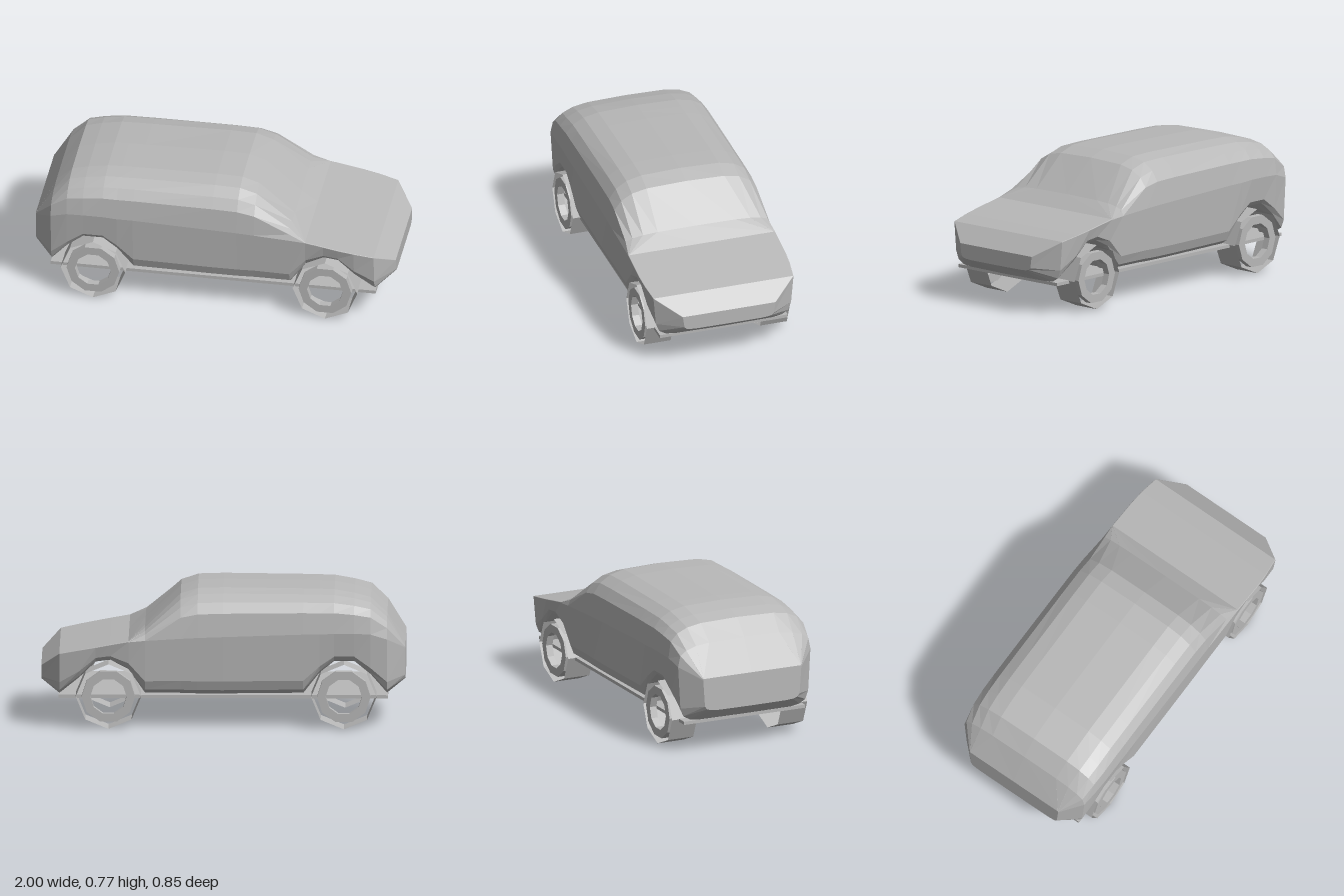
import * as THREE from 'three';

// Stations along the length: x, bottom, lower edge rounding, beltline, top, half width
const STATIONS = [
  [-1, 0.255, 0.03, 0.435, 0.445, 0.3],
  [-0.9, 0.18, 0.08, 0.5, 0.62, 0.405],
  [-0.81, 0.29, 0.05, 0.53, 0.71, 0.42],
  [-0.72, 0.365, 0.04, 0.535, 0.735, 0.425],
  [-0.61, 0.365, 0.04, 0.535, 0.755, 0.425],
  [-0.53, 0.3, 0.05, 0.53, 0.758, 0.425],
  [-0.44, 0.18, 0.09, 0.53, 0.76, 0.425],
  [0, 0.175, 0.09, 0.515, 0.766, 0.425],
  [0.14, 0.175, 0.09, 0.51, 0.762, 0.425],
  [0.235, 0.178, 0.09, 0.505, 0.73, 0.425],
  [0.43, 0.18, 0.085, 0.493, 0.555, 0.425],
  [0.52, 0.315, 0.05, 0.485, 0.49, 0.425],
  [0.62, 0.37, 0.035, 0.468, 0.472, 0.425],
  [0.7, 0.36, 0.035, 0.453, 0.457, 0.425],
  [0.79, 0.27, 0.05, 0.437, 0.44, 0.42],
  [0.9, 0.175, 0.08, 0.415, 0.418, 0.405],
  [1, 0.245, 0.02, 0.328, 0.33, 0.268],
];

// Cross-section, as fractions of half width and of the lower / upper height
const LOWER = [[0.7, 0.04], [0.83, 0.15], [0.92, 0.42], [0.965, 1]];
const UPPER = [[1, 0], [0.967, 0.51], [0.875, 0.735], [0.73, 0.89], [0.53, 0.97]];

function section([x, bottom, round, belt, top, w]) {
  const flat = top - belt < 0.02; // square upper corner on hood and ends
  const side = [
    ...LOWER.map(([u, v]) => [u * w, bottom + v * round]),
    ...UPPER.map(([u, v]) => [flat ? w * (1 - (1 - u) * 0.02) : u * w, belt + v * (top - belt)]),
  ];
  const ring = [[0, bottom], ...side, [0, top], ...side.slice().reverse().map(([z, y]) => [-z, y])];
  return ring.map(([z, y]) => [x, y, z]);
}

// Body shell lofted through the stations, flat faceted and closed at both ends
function bodyGeometry() {
  const rings = STATIONS.map(section);
  const n = rings[0].length;
  const pos = [];
  const tri = (a, b, c) => pos.push(...a, ...b, ...c);
  for (let i = 0; i < rings.length - 1; i++) {
    for (let j = 0; j < n; j++) {
      const k = (j + 1) % n;
      const [p, q] = [rings[i], rings[i + 1]];
      tri(p[j], q[j], q[k]);
      tri(p[j], q[k], p[k]);
    }
  }
  const cap = (ring, forward) => {
    const middle = [ring[0][0], (ring[0][1] + ring[10][1]) / 2, 0];
    for (let j = 0; j < n; j++) {
      const k = (j + 1) % n;
      if (forward) tri(middle, ring[k], ring[j]);
      else tri(middle, ring[j], ring[k]);
    }
  };
  cap(rings[0], false);
  cap(rings[rings.length - 1], true);
  const g = new THREE.BufferGeometry();
  g.setAttribute('position', new THREE.Float32BufferAttribute(pos, 3));
  g.computeVertexNormals();
  return g;
}

function faceted(geometry) {
  const g = geometry.index ? geometry.toNonIndexed() : geometry;
  g.computeVertexNormals();
  return g;
}

function polygon(Type, r, n) {
  const points = [];
  for (let i = 0; i < n; i++) {
    const a = (i / n) * Math.PI * 2;
    points.push(new THREE.Vector2(Math.cos(a) * r, Math.sin(a) * r));
  }
  return new Type(points);
}

export function createModel() {
  const car = new THREE.Group();
  car.name = 'car';
  const grey = new THREE.MeshStandardMaterial({ color: 0xb8b8b8, side: THREE.DoubleSide });
  grey.name = 'grey';

  const add = (parent, geometry, name) => {
    const mesh = new THREE.Mesh(geometry, grey);
    mesh.name = name;
    parent.add(mesh);
    return mesh;
  };

  add(car, bodyGeometry(), 'body');

  // Floor plate
  add(car, new THREE.BoxGeometry(1.81, 0.018, 0.74), 'floor').position.y = 0.174;

  // Wheels: open eight-sided tyre band with a ten-sided rim ring on the outer side
  const tyre = faceted(new THREE.CylinderGeometry(0.18, 0.18, 0.155, 8, 1, true).rotateX(Math.PI / 2));
  const rimShape = polygon(THREE.Shape, 0.147, 10);
  rimShape.holes.push(polygon(THREE.Path, 0.1, 10));
  const rim = faceted(new THREE.ExtrudeGeometry(rimShape, { depth: 0.04, bevelEnabled: false }));
  for (const [x, end] of [[-0.663, 'rear'], [0.63, 'front']]) {
    for (const s of [1, -1]) {
      const wheel = new THREE.Group();
      wheel.name = end + 'Wheel';
      add(wheel, tyre, 'tyre');
      add(wheel, rim, 'rim').position.z = 0.0365;
      wheel.position.set(x, 0.18, s * 0.336);
      if (s < 0) wheel.rotation.y = Math.PI;
      car.add(wheel);
    }
  }
  return car;
}
